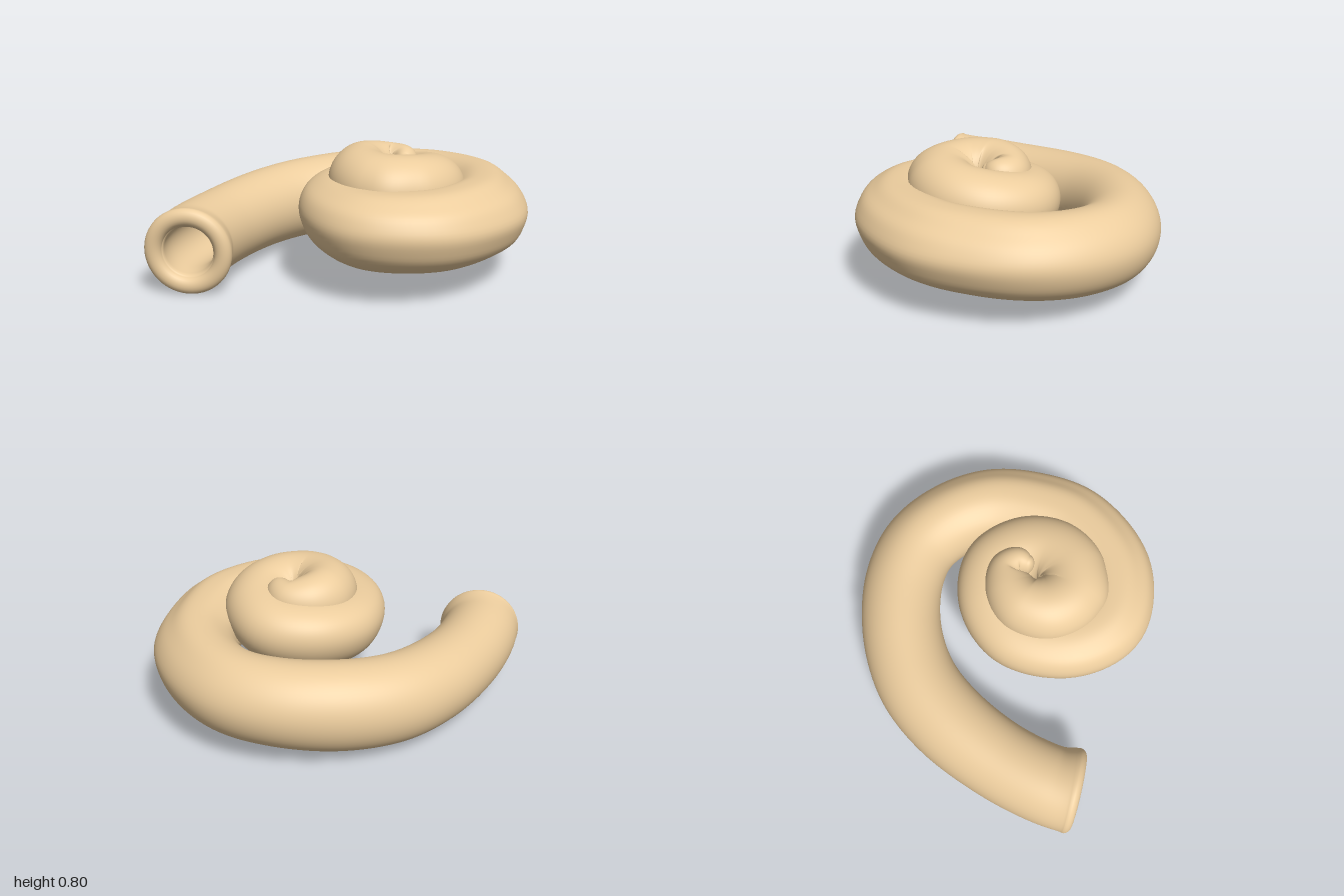
import * as THREE from 'three';

// Stations along the spiral: x, y, z of the centre, half width, half height
const STATIONS = [
  [-0.675, 0.26, 0.885, 0.24, 0.245],
  [-0.722, 0.265, 0.75, 0.234, 0.233],
  [-0.757, 0.265, 0.42, 0.235, 0.235],
  [-0.723, 0.275, 0.03, 0.245, 0.245],
  [-0.62, 0.285, -0.265, 0.247, 0.255],
  [-0.415, 0.305, -0.515, 0.243, 0.257],
  [-0.14, 0.33, -0.69, 0.242, 0.247],
  [0.12, 0.345, -0.742, 0.24, 0.243],
  [0.375, 0.36, -0.665, 0.243, 0.24],
  [0.575, 0.378, -0.5, 0.25, 0.235],
  [0.69, 0.39, -0.265, 0.257, 0.232],
  [0.735, 0.40, 0.02, 0.26, 0.23],
  [0.59, 0.405, 0.37, 0.253, 0.225],
  [0.29, 0.41, 0.512, 0.25, 0.22],
  [0.06, 0.415, 0.39, 0.245, 0.215],
  [-0.06, 0.43, 0.11, 0.24, 0.21],
  [0.02, 0.46, -0.1, 0.23, 0.205],
  [0.2, 0.49, -0.2, 0.22, 0.2],
  [0.37, 0.525, -0.11, 0.217, 0.2],
  [0.435, 0.555, 0.05, 0.212, 0.2],
  [0.385, 0.575, 0.2, 0.21, 0.2],
  [0.24, 0.585, 0.275, 0.21, 0.2],
  [0.1, 0.595, 0.21, 0.2, 0.2],
  [0.045, 0.605, 0.07, 0.185, 0.195],
  [0.085, 0.62, -0.045, 0.155, 0.17],
  [0.172, 0.64, -0.11, 0.12, 0.13],
  [0.238, 0.655, -0.085, 0.09, 0.105],
  [0.255, 0.65, -0.03, 0.055, 0.08],
];
const SEGMENTS = 64;
const AXIS = new THREE.Vector2(0.225, 0.03); // x, z of the coil's centre
const bump = (t, middle, width) => Math.exp(-(((t - middle) / width) ** 2));

// Lofts rings along the centre line; ring = { t, scale, push along the axis }
function loft(rings) {
  const path = new THREE.CatmullRomCurve3(STATIONS.map(s => new THREE.Vector3(s[0], s[1], s[2])));
  const size = new THREE.CatmullRomCurve3(STATIONS.map(s => new THREE.Vector3(s[3], s[4], 0)));
  const worldUp = new THREE.Vector3(0, 1, 0);
  const positions = [], index = [];
  rings.forEach(({ t, scale, push = 0 }, i) => {
    const tangent = path.getTangent(t);
    const side = new THREE.Vector3().crossVectors(worldUp, tangent).normalize();
    const up = new THREE.Vector3().crossVectors(tangent, side);
    const centre = path.getPoint(t).addScaledVector(tangent, push);
    const radius = size.getPoint(t);
    // the inner half stops short of the coil's axis
    const inner = Math.min(radius.x, 0.95 * AXIS.distanceTo(new THREE.Vector2(centre.x, centre.z)));
    const groove = 0.009 * bump(t, 0.42, 0.1);  // faint lengthwise grooves
    const slope = 0.09 * bump(t, 0.36, 0.11);   // flattened upper outer shoulder
    const lift = 0.04 * bump(t, 0.53, 0.09);    // raised outer edge on the lower coil
    for (let j = 0; j < SEGMENTS; j++) {
      const a = (j / SEGMENTS) * Math.PI * 2;
      const c = Math.cos(a), n = Math.sin(a);
      const shoulder = c > 0 && n > 0 ? slope * Math.sin(2 * a) ** 2 : 0;
      const s = scale * (1 + groove * Math.cos(10 * a) - shoulder);
      const p = centre.clone()
        .addScaledVector(side, c * (c > 0 ? radius.x : inner) * s)
        .addScaledVector(up, n * radius.y * s + lift * Math.max(c, 0) ** 2);
      positions.push(p.x, p.y, p.z);
      if (i === 0) continue;
      const k = (j + 1) % SEGMENTS, r0 = (i - 1) * SEGMENTS, r1 = i * SEGMENTS;
      index.push(r0 + j, r0 + k, r1 + j, r0 + k, r1 + k, r1 + j);
    }
  });
  const geometry = new THREE.BufferGeometry();
  geometry.setAttribute('position', new THREE.Float32BufferAttribute(positions, 3));
  geometry.setIndex(index);
  geometry.computeVertexNormals();
  return geometry;
}

export function createModel() {
  const group = new THREE.Group();
  group.name = 'spiralShell';
  const material = new THREE.MeshStandardMaterial({ color: 0xebcc9d });

  // Bore inside the mouth, from its closed end out to the rim
  const rings = [{ t: 0.11, scale: 0 }];
  for (let i = 0; i <= 16; i++) rings.push({ t: 0.11 * (1 - i / 16) + 0.004, scale: 0.6 });

  // Rounded lip, turning from the bore to the outside
  for (let i = 0; i <= 12; i++) {
    const a = (i / 12) * Math.PI;
    rings.push({ t: 0, scale: 0.84 - 0.21 * Math.cos(a), push: 0.015 - 0.045 * Math.sin(a) });
  }

  // Outer wall, from the flared lip to the tip of the spiral
  for (let i = 0; i <= 260; i++) {
    const t = 0.008 + (i / 260) * 0.992;
    rings.push({ t, scale: 1 + 0.06 * Math.exp(-t / 0.028) });
  }

  // Rounded tip
  for (let i = 1; i <= 8; i++) {
    const a = (i / 8) * Math.PI / 2;
    rings.push({ t: 1, scale: Math.cos(a), push: 0.04 * Math.sin(a) });
  }

  const tube = new THREE.Mesh(loft(rings), material);
  tube.name = 'spiralTube';
  group.add(tube);
  return group;
}
